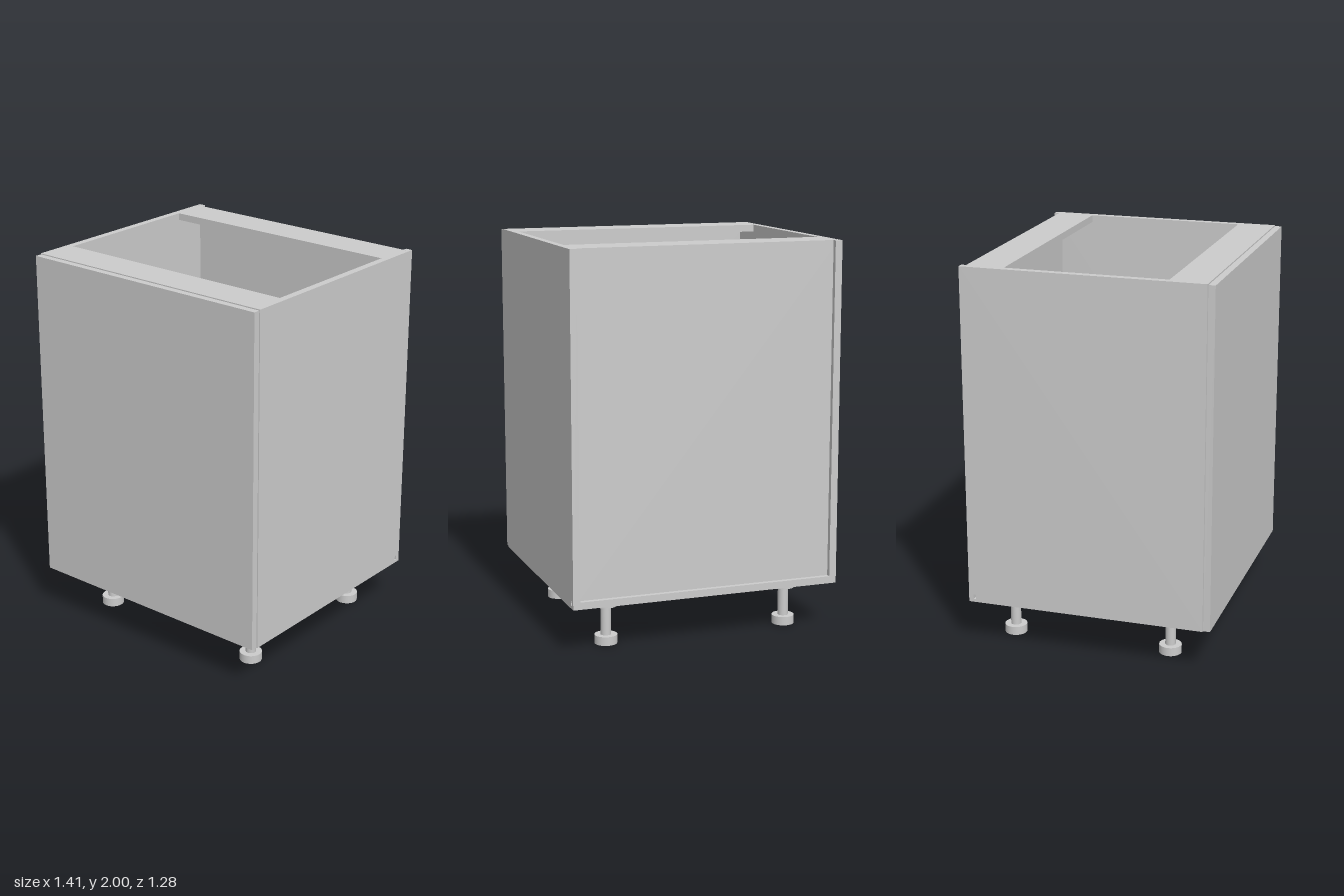
import * as THREE from 'three';

const W = 0.705, T = 0.037;          // half width, board thickness
const Y0 = 0.24, Y1 = 2;             // carcass bottom and top
const BACK = -0.64, FRONT = 0.6;     // carcass depth
const IN = W - T;

export function createModel() {
  const root = new THREE.Group();
  root.name = 'baseCabinet';
  const mat = new THREE.MeshStandardMaterial({ color: 0xcccccc });

  const add = (geo, name, parent = root) => {
    const m = new THREE.Mesh(geo, mat);
    m.name = name;
    parent.add(m);
    return m;
  };
  // Box given by its minimum and maximum corners
  const board = (name, x0, x1, y0, y1, z0, z1) => {
    const m = add(new THREE.BoxGeometry(x1 - x0, y1 - y0, z1 - z0), name);
    m.position.set((x0 + x1) / 2, (y0 + y1) / 2, (z0 + z1) / 2);
    return m;
  };

  // Side panels with a small slot low at the rear; shape drawn in (-z, y)
  const side = new THREE.Shape([
    new THREE.Vector2(-FRONT, Y0), new THREE.Vector2(-BACK, Y0),
    new THREE.Vector2(-BACK, Y1), new THREE.Vector2(-FRONT, Y1),
  ]);
  side.holes.push(new THREE.Path([
    new THREE.Vector2(0.603, 0.256), new THREE.Vector2(0.603, 0.28),
    new THREE.Vector2(0.615, 0.28), new THREE.Vector2(0.615, 0.256),
  ]));
  const sideGeo = new THREE.ExtrudeGeometry(side, { depth: T, bevelEnabled: false });
  sideGeo.rotateY(Math.PI / 2);
  add(sideGeo, 'leftSide').position.x = IN;
  add(sideGeo, 'rightSide').position.x = -W;

  // Bottom, recessed back panel and the two top rails
  board('bottom', -IN, IN, Y0, Y0 + T, BACK, FRONT);
  board('backPanel', -IN, IN, Y0 + T, Y1 - T, -0.615, -0.597);
  board('backRail', -IN, IN, Y1 - T, Y1, -0.615, -0.42);
  board('frontRail', -IN, IN, Y1 - T, Y1, 0.407, FRONT);

  // Door with a narrow gap to the carcass
  board('door', -0.702, 0.702, Y0 + 0.003, Y1 - 0.004, FRONT + 0.003, 0.638);

  // Small fixing pins in the top of the sides
  for (const x of [-0.69, 0.69])
    board('fixingPin', x - 0.005, x + 0.005, Y1 - 0.02, Y1 + 0.0005, -0.617, -0.607);

  // Adjustable feet: top plate, stem and base
  const plate = new THREE.CylinderGeometry(0.058, 0.058, 0.045, 32);
  const stem = new THREE.CylinderGeometry(0.027, 0.027, 0.16, 24);
  for (const x of [-0.485, 0.485]) {
    for (const z of [-0.47, 0.375]) {
      const foot = new THREE.Group();
      foot.name = 'foot';
      foot.position.set(x, 0, z);
      add(plate, 'footBase', foot).position.y = 0.0225;
      add(stem, 'footStem', foot).position.y = 0.12;
      add(plate, 'footPlate', foot).position.y = Y0 - 0.0225;
      root.add(foot);
    }
  }
  return root;
}
